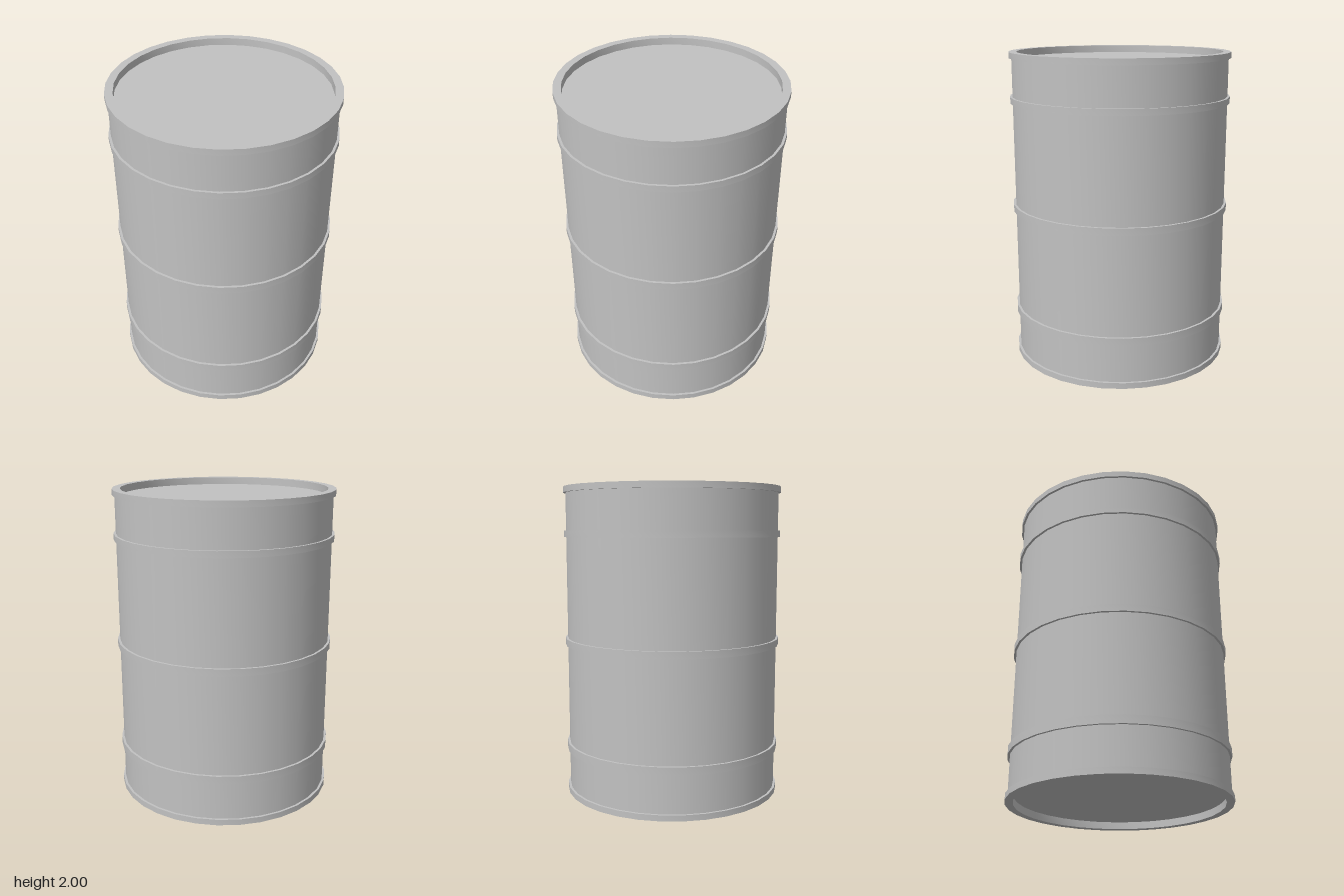
import * as THREE from 'three';
import { toCreasedNormals } from 'three/addons/utils/BufferGeometryUtils.js';

const SIDES = 32;
const BODY_R = 0.69, BAND_R = 0.705, LID_R = 0.655;
const RIM_H = 0.038, RECESS = 0.047;

export function createModel() {
  const drum = new THREE.Group();
  drum.name = 'drum';
  const steel = new THREE.MeshStandardMaterial({ color: 0xc2c2c2 });
  steel.name = 'grey steel';

  const add = (name, geometry) => {
    const mesh = new THREE.Mesh(geometry, steel);
    mesh.name = name;
    drum.add(mesh);
    return mesh;
  };

  // Revolves a profile, smooth around the drum and sharp at its corners
  const turned = (points) => toCreasedNormals(
    new THREE.LatheGeometry(points.map(([r, y]) => new THREE.Vector2(r, y)), SIDES), 0.6);

  // Side wall
  add('body', turned([[BODY_R, RIM_H], [BODY_R, 2 - RIM_H]]));

  // Raised hoops around the wall
  const hoops = { lowerHoop: [0.283, 0.335], middleHoop: [0.982, 1.028], upperHoop: [1.682, 1.722] };
  for (const [name, [y0, y1]] of Object.entries(hoops)) {
    add(name, turned([[BODY_R, y0], [BAND_R, y0], [BAND_R, y1], [BODY_R, y1]]));
  }

  // End rims, with an inner wall down to the recessed end plates
  add('bottomRim', turned([
    [LID_R, RECESS], [LID_R, 0], [BAND_R, 0], [BAND_R, RIM_H], [BODY_R, RIM_H],
  ]));
  add('topRim', turned([
    [BODY_R, 2 - RIM_H], [BAND_R, 2 - RIM_H], [BAND_R, 2], [LID_R, 2], [LID_R, 2 - RECESS],
  ]));

  // Recessed end plates
  const lid = add('lid', new THREE.CircleGeometry(LID_R, SIDES));
  lid.rotation.x = -Math.PI / 2;
  lid.position.y = 2 - RECESS;
  const base = add('base', new THREE.CircleGeometry(LID_R, SIDES));
  base.rotation.x = Math.PI / 2;
  base.position.y = RECESS;

  return drum;
}
